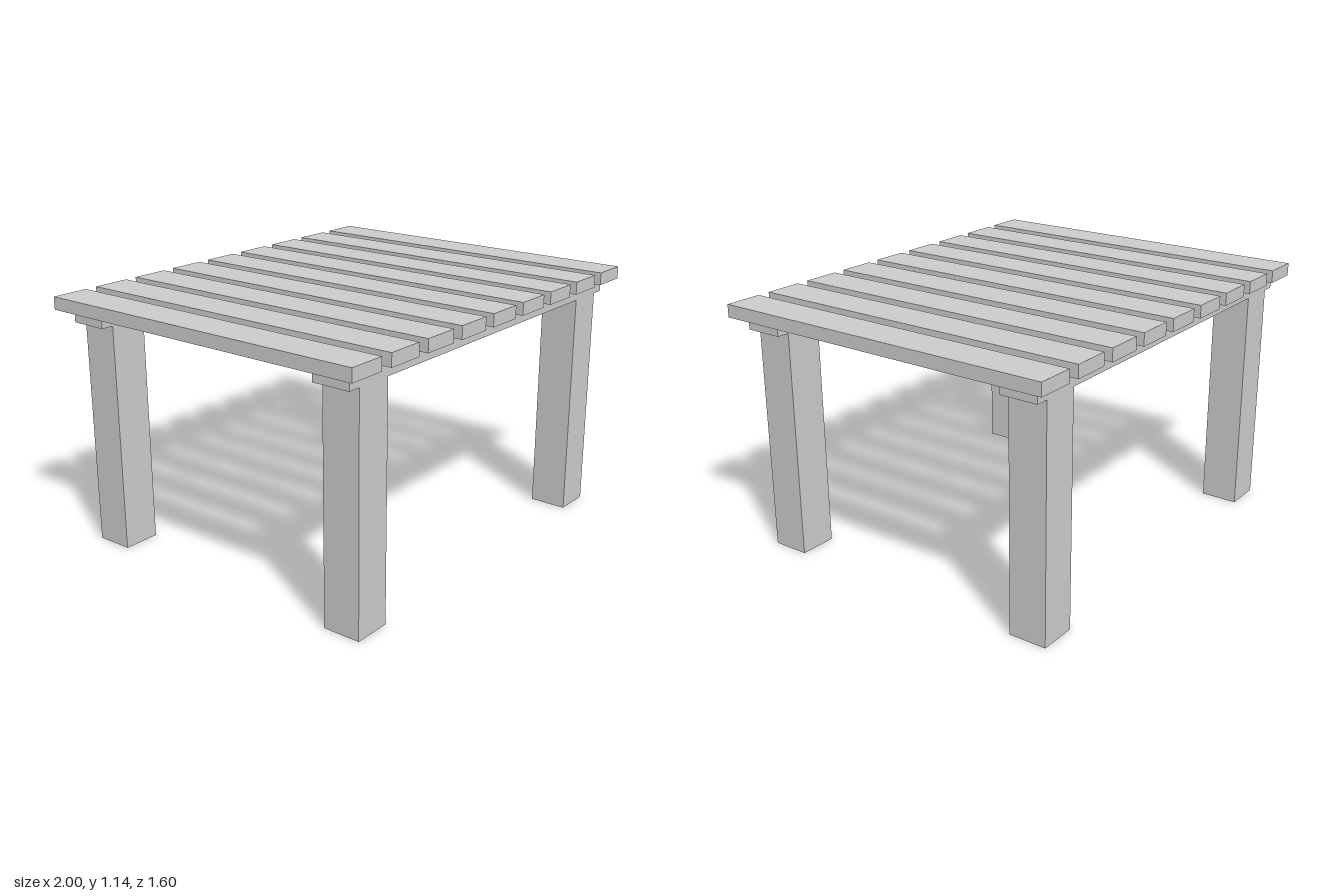
import * as THREE from 'three';

const material = new THREE.MeshStandardMaterial({ color: 0xcccccc, flatShading: true });

// Box given its size, centre x and z, and the height of its underside
function box(name, w, h, d, x, bottom, z) {
  const mesh = new THREE.Mesh(new THREE.BoxGeometry(w, h, d), material);
  mesh.name = name;
  mesh.position.set(x, bottom + h / 2, z);
  return mesh;
}

export function createModel() {
  const table = new THREE.Group();
  table.name = 'slattedTable';

  const post = 0.1714;       // width of legs, beams and slats
  const board = 0.0571;      // thickness of beams and slats
  const legHeight = 1.0286;
  const slatCount = 9;
  const pitch = (2 - post) / (slatCount - 1);

  // Four legs and the two beams that join them
  for (const [end, z] of [['front', 0.657], ['back', -0.657]]) {
    table.add(box(end + 'Beam', 1.886, board, post, 0, legHeight, z));
    for (const [side, x] of [['Left', 0.8], ['Right', -0.8]]) {
      table.add(box(end + side + 'Leg', post, legHeight, post, x, 0, z));
    }
  }

  // Evenly spaced slats of the top
  const top = new THREE.Group();
  top.name = 'tableTop';
  for (let i = 0; i < slatCount; i++) {
    const x = (i - (slatCount - 1) / 2) * pitch;
    top.add(box('slat' + (i + 1), post, board, 1.6, x, legHeight + board, 0));
  }
  table.add(top);

  return table;
}
